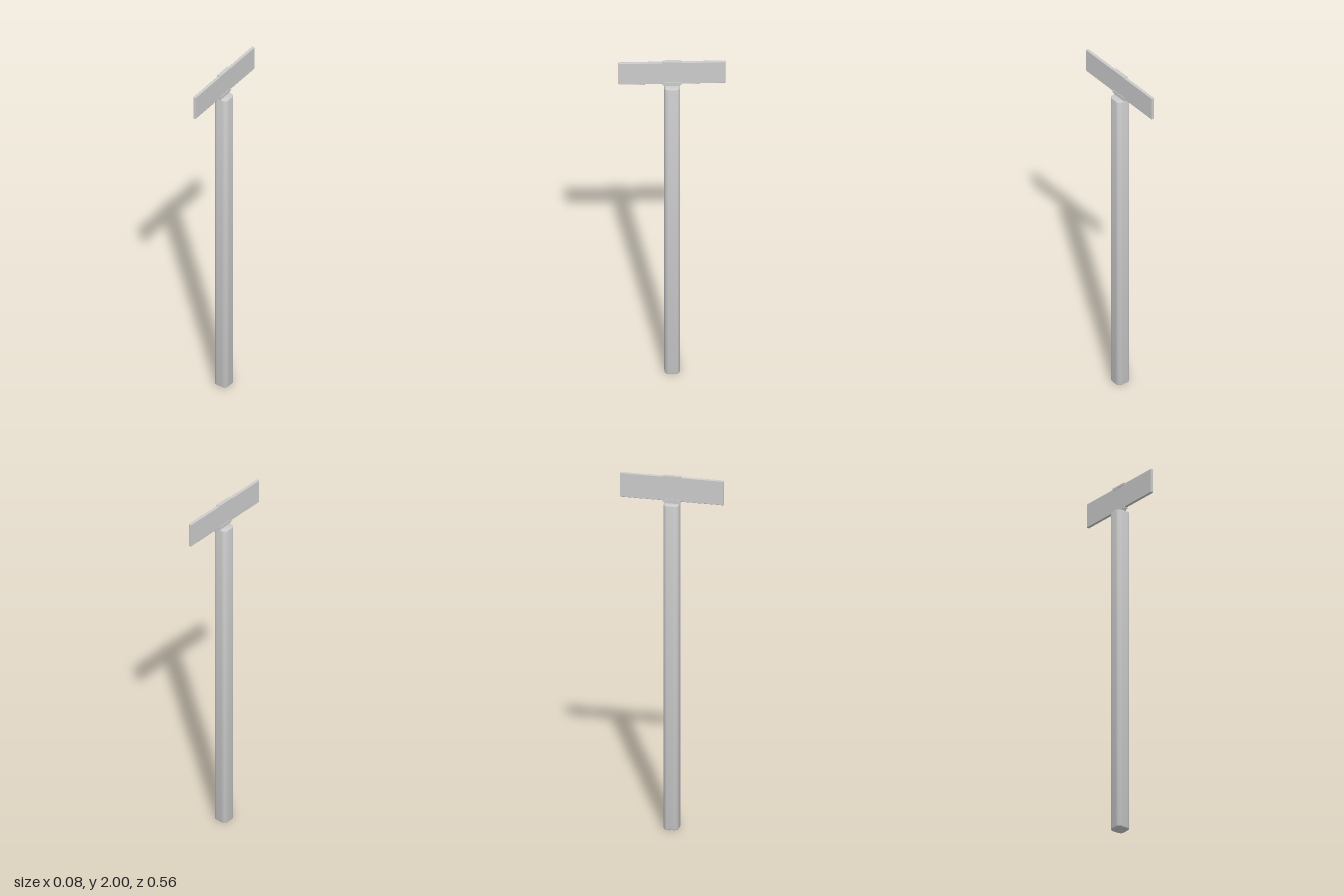
import * as THREE from 'three';
import { RoundedBoxGeometry } from 'three/addons/geometries/RoundedBoxGeometry.js';
import { toCreasedNormals } from 'three/addons/utils/BufferGeometryUtils.js';

const material = new THREE.MeshStandardMaterial({ color: 0xcccccc });

function addPart(group, name, geometry, y = 0) {
  const mesh = new THREE.Mesh(geometry, material);
  mesh.name = name;
  mesh.position.y = y;
  group.add(mesh);
  return mesh;
}

function roundedSquare(half, r) {
  const s = new THREE.Shape();
  const a = half - r;
  s.absarc(a, a, r, 0, Math.PI / 2);
  s.absarc(-a, a, r, Math.PI / 2, Math.PI);
  s.absarc(-a, -a, r, Math.PI, Math.PI * 1.5);
  s.absarc(a, -a, r, Math.PI * 1.5, Math.PI * 2);
  s.closePath();
  return s;
}

// U-shaped clip section, extruded along z and centred
function clipGeometry(outer, inner, height, floor, length) {
  const s = new THREE.Shape([
    [-outer, 0], [outer, 0], [outer, height], [inner, height],
    [inner, floor], [-inner, floor], [-inner, height], [-outer, height],
  ].map(([x, y]) => new THREE.Vector2(x, y)));
  return new THREE.ExtrudeGeometry(s, { depth: length, bevelEnabled: false })
    .translate(0, 0, -length / 2);
}

export function createModel() {
  const model = new THREE.Group();
  model.name = 'streetSign';

  // Square post with rounded corners and softened ends
  const bevel = 0.006, postHeight = 1.845;
  const post = new THREE.ExtrudeGeometry(roundedSquare(0.041 - bevel, 0.018), {
    depth: postHeight - 2 * bevel, bevelSize: bevel, bevelThickness: bevel,
    bevelSegments: 3, curveSegments: 6,
  });
  post.rotateX(-Math.PI / 2).translate(0, bevel, 0);
  addPart(model, 'post', toCreasedNormals(post, 0.6));

  // Thin sign plate running front to back
  addPart(model, 'signPlate', new RoundedBoxGeometry(0.016, 0.137, 0.562, 2, 0.003), 1.9275);

  // Lower bracket, flaring from the post top to the plate
  const neck = new THREE.BoxGeometry(0.016, 0.014, 0.096);
  const p = neck.attributes.position;
  for (let i = 0; i < p.count; i++) {
    if (p.getY(i) < 0) p.setZ(i, p.getZ(i) * 0.84);
  }
  neck.computeVertexNormals();
  addPart(model, 'bracketNeck', neck, 1.85);
  addPart(model, 'lowerClip', clipGeometry(0.011, 0.007, 0.015, 0.005, 0.098), 1.853);

  // Upper clip folded over the top edge of the plate
  const cap = addPart(model, 'upperClip', clipGeometry(0.011, 0.007, 0.014, 0.005, 0.098), 2);
  cap.rotation.z = Math.PI;

  return model;
}
